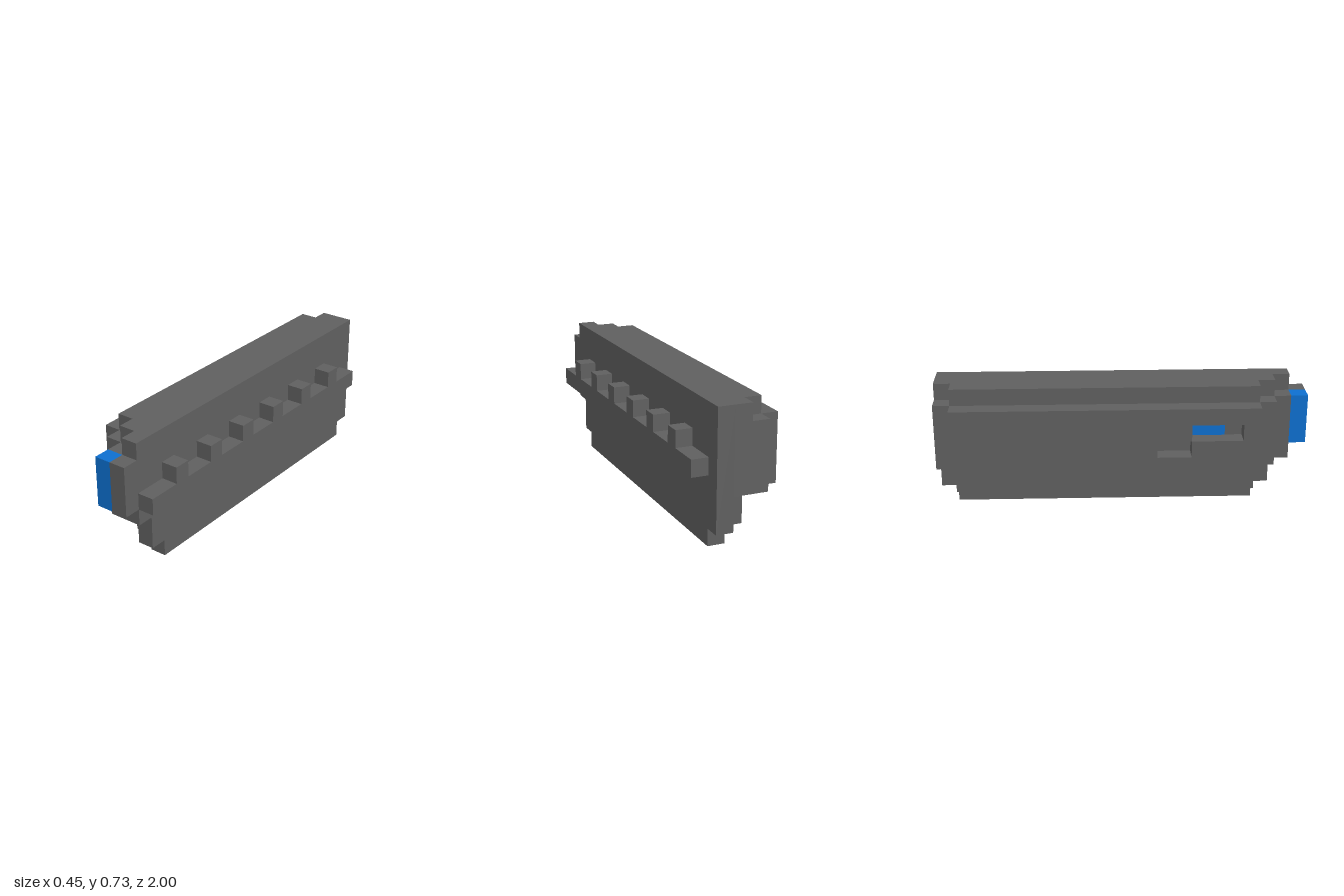
import * as THREE from 'three';

const U = 1 / 11; // one block

export function createModel() {
  const group = new THREE.Group();
  const grey = new THREE.MeshStandardMaterial({ color: 0x606060 });
  grey.name = 'dark grey';
  const blue = new THREE.MeshStandardMaterial({ color: 0x0d70d0 });
  blue.name = 'blue';

  const toPoints = (list) => list.map(([k, y]) => new THREE.Vector2(k, y));

  // One-block-thick slab: outline in (blocks from the back, height), column counted from -x
  function slab(name, column, outline, holes = []) {
    const shape = new THREE.Shape(toPoints(outline));
    holes.forEach((h) => shape.holes.push(new THREE.Path(toPoints(h))));
    const geo = new THREE.ExtrudeGeometry(shape, { depth: 1, bevelEnabled: false });
    geo.rotateY(-Math.PI / 2).translate(column + 1 - 2.5, 0, -11).scale(U, U, U);
    const mesh = new THREE.Mesh(geo, grey);
    mesh.name = name;
    group.add(mesh);
  }

  function block(name, material, x, y, k, w, h, d) {
    const mesh = new THREE.Mesh(new THREE.BoxGeometry(w * U, h * U, d * U), material);
    mesh.position.set((x + w / 2 - 2.5) * U, (y + h / 2) * U, (k + d / 2 - 11) * U);
    mesh.name = name;
    group.add(mesh);
  }

  // Right cover with two stepped window slots
  slab('rightCover', 0, [[1, 3], [19, 3], [19, 7], [1, 7]], [
    [[13, 4], [14.995, 4], [14.995, 5], [13, 5]],
    [[15, 5], [18, 5], [18, 6], [15, 6]],
  ]);

  // Stepped body layers
  slab('rightBody', 1, [[0, 3], [20, 3], [20, 7], [19, 7], [19, 8], [1, 8], [1, 7], [0, 7]]);
  slab('middleBody', 2, [[1, 1], [19, 1], [19, 3], [21, 3], [21, 7], [20, 7], [20, 8], [0, 8], [0, 3], [1, 3]]);
  slab('leftBody', 3, [
    [1, 0], [19, 0], [19, 1], [20, 1], [20, 3], [21, 3], [21, 4], [22, 4],
    [22, 7], [21, 7], [21, 8], [0, 8], [0, 1], [1, 1],
  ]);

  // Side rail and its evenly spaced teeth
  const rail = [[1, 4], [21, 4], [21, 5]];
  for (let k = 18; k >= 3; k -= 3) rail.push([k + 1, 5], [k + 1, 6], [k, 6], [k, 5]);
  rail.push([1, 5]);
  slab('toothedRail', 4, rail);

  // Blue front panel and the blue patch inside the upper slot
  block('frontPanel', blue, 2, 4, 21, 1, 3, 1);
  block('slotPatch', blue, 0.95, 5, 15, 0.05, 1, 2);

  return group;
}
